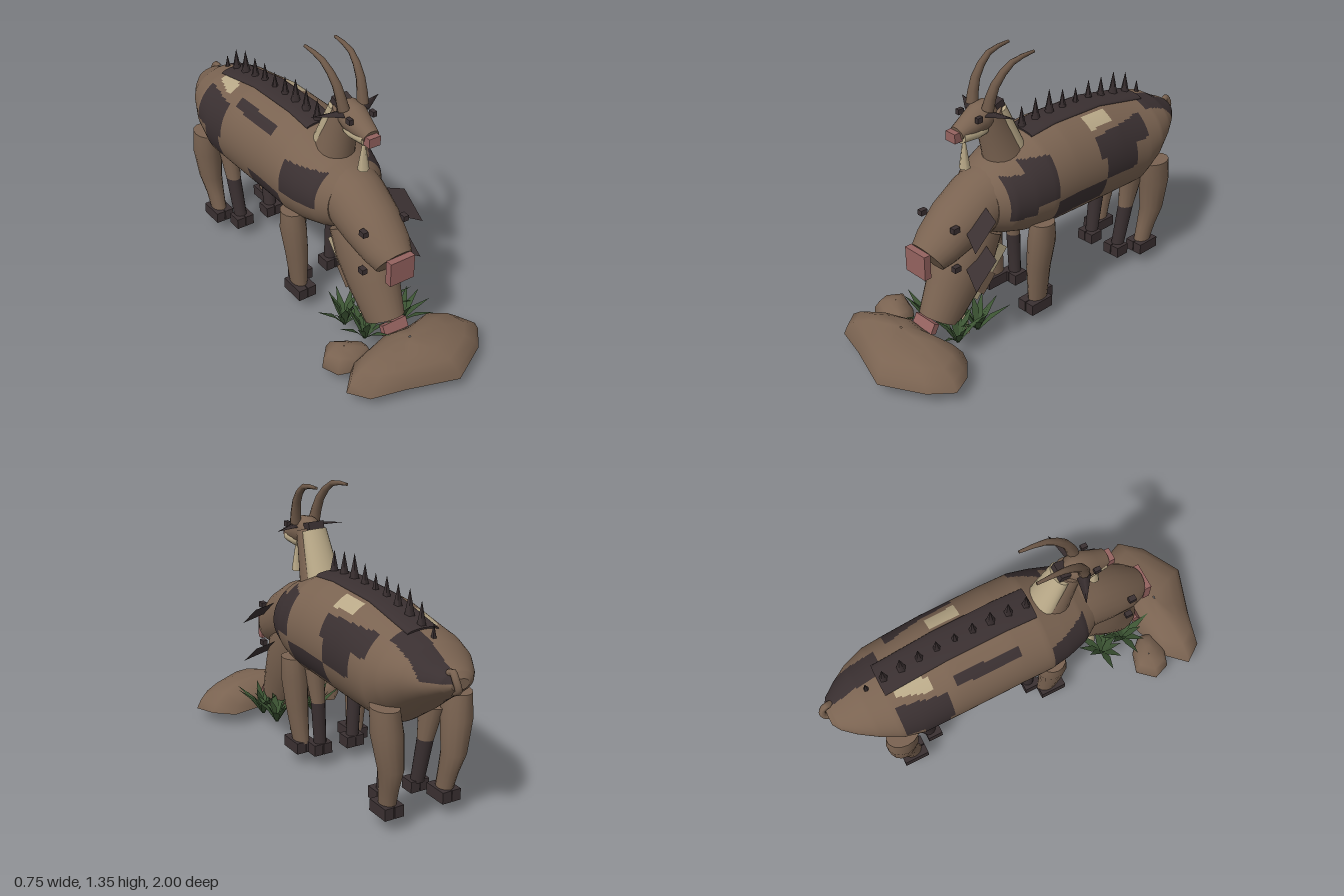
import * as THREE from 'three';

const mat = (name, color, side = THREE.FrontSide) => {
  const m = new THREE.MeshStandardMaterial({ color, side });
  m.name = name;
  return m;
};
const brown = mat('brownHide', 0x7a6351);
const dark = mat('darkHide', 0x3a3031, THREE.DoubleSide);
const cream = mat('creamHide', 0xb9a988);
const pink = mat('pinkSkin', 0x94625f);
const horn = mat('hornBrown', 0x6c5747);
const rockMat = mat('rockBrown', 0x7a6351, THREE.DoubleSide);
const green = mat('grassGreen', 0x3c5433, THREE.DoubleSide);
const V = (x, y, z) => new THREE.Vector3(x, y, z);

// Elliptical ring about centre c with half axes a and b
const ring = (c, a, b, n) => Array.from({ length: n }, (_, j) => {
  const t = (j / n) * Math.PI * 2;
  return c.clone().addScaledVector(a, Math.cos(t)).addScaledVector(b, Math.sin(t));
});

// Skin over rings with capped ends; pick(mid) returns a material index per quad
function loft(name, rings, mats, pick = () => 0) {
  const n = rings[0].length, pos = [], lists = mats.map(() => []);
  rings.flat().forEach(p => pos.push(p.x, p.y, p.z));
  for (let i = 0; i < rings.length - 1; i++) for (let j = 0; j < n; j++) {
    const k = (j + 1) % n, a = i * n + j, b = i * n + k, c = a + n, d = b + n;
    const mid = rings[i][j].clone().add(rings[i + 1][k]).multiplyScalar(0.5);
    lists[pick(mid)].push(a, b, c, b, d, c);
  }
  [[rings[0], true], [rings.at(-1), false]].forEach(([r, flip]) => {
    const base = pos.length / 3;
    r.forEach(p => pos.push(p.x, p.y, p.z));
    for (let j = 1; j < n - 1; j++)
      lists[0].push(base, base + (flip ? j + 1 : j), base + (flip ? j : j + 1));
  });
  const g = new THREE.BufferGeometry();
  g.setAttribute('position', new THREE.Float32BufferAttribute(pos, 3));
  g.setIndex(lists.flat());
  let start = 0;
  lists.forEach((l, i) => { g.addGroup(start, l.length, i); start += l.length; });
  g.computeVertexNormals();
  const m = new THREE.Mesh(g, mats);
  m.name = name;
  return m;
}

// Loft in the middle plane: stations are [z, y, halfWidth, halfDepth]
function spine(name, st, n, material) {
  const rings = st.map(([z, y, rx, r], i) => {
    const p = st[Math.max(i - 1, 0)], q = st[Math.min(i + 1, st.length - 1)];
    const d = V(0, q[1] - p[1], q[0] - p[0]).normalize();
    return ring(V(0, y, z), V(rx, 0, 0), d.cross(V(1, 0, 0)).multiplyScalar(r), n);
  });
  return loft(name, rings, [material]);
}

function part(parent, name, geo, m, x, y, z, rx = 0, ry = 0, rz = 0) {
  const mesh = new THREE.Mesh(geo, m);
  mesh.name = name;
  mesh.position.set(x, y, z);
  mesh.rotation.set(rx, ry, rz);
  parent.add(mesh);
  return mesh;
}
const box = (w, h, d) => new THREE.BoxGeometry(w, h, d);

export function createModel() {
  const model = new THREE.Group();
  model.name = 'twinGoat';

  // Barrel body with patches: [z, yCentre, halfWidth, halfHeight]
  const st = [[-.965, .73, .045, .025], [-.94, .732, .085, .05], [-.88, .725, .135, .085], [-.8, .72, .185, .137], [-.7, .695, .228, .19],
    [-.6, .67, .242, .235], [-.4, .69, .245, .255], [-.1, .7, .245, .255], [.05, .695, .245, .245],
    [.15, .685, .228, .215], [.25, .68, .198, .18], [.32, .675, .15, .145]];
  const within = (v, a, b) => v > a && v < b;
  // Patch boxes: [side, z0, z1, y0, y1, material]
  const patches = [
    [1, .03, .18, .67, .87, 1], [1, .15, .28, .62, .82, 1], [1, -.28, .03, .54, .655, 1],
    [1, -.6, -.25, .76, .86, 1], [1, -.495, -.29, .645, .78, 1], [1, -.39, -.24, .885, .928, 2],
    [-1, -.69, -.45, .68, .85, 1], [-1, -.6, -.48, .56, .7, 1], [-1, -.4, -.09, .86, .9, 1],
    [-1, -.66, -.5, .87, .905, 2], [-1, .06, .27, .66, .82, 1], [-1, -.2, .05, .52, .64, 1],
    [-1, -.87, -.8, .62, .68, 1]];
  const bodyRings = [];
  for (let i = 0; i < st.length - 1; i++) for (let k = i ? 1 : 0; k < 9; k++) {
    const [z, y, w, h] = st[i].map((a, j) => a + (st[i + 1][j] - a) * k / 8);
    bodyRings.push(ring(V(0, y, z), V(w, 0, 0), V(0, h, 0), 144));
  }
  model.add(loft('body', bodyRings, [brown, dark, cream], p => {
    if (p.y > .74 && p.z < -.66 && within(p.x, .02, .14)) return 1;
    const hit = patches.find(q => p.x * q[0] > 0 && within(p.z, q[1], q[2]) && within(p.y, q[3], q[4]));
    return hit ? hit[5] : 0;
  }));

  // Raised dark stripe and spikes along the back
  model.add(spine('backStripe', st.slice(4, 9).map(([z, y, , h]) => [z, y + h - .01, .078, .018]), 24, dark));
  const tips = [1.05, 1.065, 1.075, 1.05, 1.03, 1.04, 1.03, 1.03, 1.0, .93];
  tips.forEach((y, i) => part(model, 'backSpike', new THREE.ConeGeometry(.026, .13, 5), dark, -.008, y - .065, .03 - i * .088));

  // Curled tail
  const tail = new THREE.CatmullRomCurve3([V(0, .68, -.92), V(.02, .715, -.98), V(.03, .755, -.975), V(.03, .785, -.95), V(.035, .775, -.93)]);
  part(model, 'tail', new THREE.TubeGeometry(tail, 14, .016, 7), brown, 0, 0, 0);

  // Legs: stout outer pairs and slim inner pairs with dark socks; stations [y, x, z, rx, rz]
  const legs = [
    ['frontLeg', [[.55, .185, .085, .055, .06], [.45, .18, .085, .06, .073], [.3, .165, .09, .052, .062], [.11, .15, .08, .036, .052]], 0, .095, .13],
    ['rearLeg', [[.58, .185, -.7, .06, .08], [.46, .178, -.71, .07, .08], [.3, .163, -.72, .056, .063], [.2, .155, -.695, .042, .053], [.11, .15, -.675, .036, .047]], 0, -.673, .125],
    ['innerFrontLeg', [[.5, .11, .02, .045, .055], [.33, .1, .0, .034, .034], [.11, .09, .0, .03, .03]], .331, .005, .075],
    ['innerRearLeg', [[.5, .11, -.62, .045, .075], [.33, .1, -.595, .036, .042], [.11, .09, -.555, .032, .034]], .331, -.542, .075]];
  legs.forEach(([name, s, sock, footZ, footLen]) => [1, -1].forEach(side => {
    const rings = s.map(([y, x, z, rx, rz]) => ring(V(x * side, y, z), V(rx, 0, 0), V(0, 0, rz), 14));
    model.add(loft(name, rings, [brown, dark], p => (p.y < sock ? 1 : 0)));
    [-1, 1].forEach(t => part(model, 'hoof', box(.046, .055, footLen), dark,
      s.at(-1)[1] * side + t * .025, .0925, footZ));
  }));

  // Upright neck with cream nape, and head with cream jaw
  model.add(spine('neck', [[.14, .82, .105, .12], [.165, .89, .088, .095], [.215, 1.02, .072, .075], [.245, 1.1, .065, .06]], 20, brown));
  model.add(spine('nape', [[.115, .895, .082, .056], [.2, 1.105, .06, .042]], 20, cream));
  model.add(spine('head', [[.215, 1.095, .035, .04], [.25, 1.095, .06, .065], [.3, 1.085, .066, .068], [.36, 1.065, .054, .053], [.425, 1.05, .04, .03]], 20, brown));
  model.add(spine('jaw', [[.285, 1.035, .05, .032], [.33, 1.035, .056, .037], [.415, 1.037, .047, .036]], 16, cream));
  part(model, 'poll', box(.08, .035, .05), dark, 0, 1.125, .205, .3);
  part(model, 'nose', box(.06, .045, .045), pink, -.005, 1.04, .435);
  part(model, 'beard', new THREE.CylinderGeometry(.006, .027, .14, 6), cream, -.005, .935, .38);
  [1, -1].forEach(s => {
    part(model, 'eye', box(.02, .025, .03), dark, .062 * s, 1.11, .35);
    part(model, 'ear', new THREE.ConeGeometry(.034, .14, 4), dark, .115 * s, 1.112, .26, 0, s * .4, -s * Math.PI / 2).scale.x = .3;
    // Swept horn, tapering along its path
    const path = new THREE.CatmullRomCurve3([V(.05 * s, 1.13, .29), V(.062 * s, 1.24, .255), V(.075 * s, 1.325, .165), V(.08 * s, 1.342, .04)]);
    const hornRings = Array.from({ length: 7 }, (_, i) => {
      const u = i / 6, d = path.getTangent(u), r = .028 - .021 * u;
      const a = V(1, 0, 0).addScaledVector(d, -d.x).normalize();
      return ring(path.getPoint(u), a.clone().multiplyScalar(r), d.clone().cross(a).multiplyScalar(r), 8);
    });
    model.add(loft('horn', hornRings, [horn]));
  });

  // Lowered front neck and the grazing muzzle reaching the ground
  model.add(spine('loweredNeck', [[.22, .695, .16, .155], [.33, .67, .145, .15], [.45, .61, .135, .135], [.56, .545, .115, .105], [.615, .508, .09, .088]], 24, brown));
  model.add(spine('grazingMuzzle', [[.33, .56, .125, .13], [.4, .45, .13, .155], [.47, .32, .115, .135], [.565, .16, .088, .105]], 24, brown));
  part(model, 'loweredNose', box(.13, .12, .035), pink, -.005, .5, .665);
  part(model, 'grazingMouth', box(.13, .05, .03), pink, -.005, .16, .64, -.5);
  part(model, 'throatStripe', box(.11, .28, .06), cream, 0, .315, .305, -.75);
  part(model, 'throatPatch', box(.116, .11, .072), brown, 0, .27, .33, -.75);
  part(model, 'lowerBeard', new THREE.CylinderGeometry(.012, .03, .17, 6), cream, -.005, .085, .415);
  [.66, .46].forEach(y => [-.115, .105].forEach(x => part(model, 'lowerEye', box(.026, .026, .035), dark, x, y, .54)));

  // Flat side ears
  [.0, -.2].forEach(dy => {
    const g = new THREE.BufferGeometry().setFromPoints([V(.11, .722 + dy, .375), V(.215, .69 + dy, .4), V(.222, .585 + dy, .53), V(.105, .635 + dy, .485)]);
    g.setIndex([0, 2, 1, 0, 3, 2]);
    g.computeVertexNormals();
    part(model, 'flatEar', g, dark, 0, 0, 0);
  });

  // Hollow rocks: outline points [x, z] shrunk upward in tiers [scale, y]
  function rock(name, outline, cx, cz, tiers) {
    const n = outline.length, pos = [], idx = [];
    tiers.forEach(([k, y]) => outline.forEach(([x, z], j) =>
      pos.push(cx + (x - cx) * k, y + (k > .4 && k < .9 ? .008 * Math.sin(j * 2.3) : 0), cz + (z - cz) * k)));
    for (let i = 0; i < tiers.length - 1; i++) for (let j = 0; j < n; j++) {
      const a = i * n + j, b = i * n + (j + 1) % n;
      idx.push(a, b, a + n, b, b + n, a + n);
    }
    const g = new THREE.BufferGeometry();
    g.setAttribute('position', new THREE.Float32BufferAttribute(pos, 3));
    g.setIndex(idx);
    g.computeVertexNormals();
    part(model, name, g, rockMat, 0, 0, 0);
  }
  rock('bigRock', [[-.375, .79], [-.31, .88], [-.15, .92], [.09, 1], [.29, .89], [.375, .79], [.33, .69], [.24, .61], [.08, .64], [-.1, .64], [-.28, .69]], -.02, .77,
    [[1, .065], [.94, .11], [.78, .15], [.5, .182], [.2, .195], [.02, .197]]);
  rock('smallRock', [[-.37, .6], [-.34, .68], [-.25, .71], [-.15, .68], [-.14, .62], [-.2, .555], [-.3, .522]], -.26, .61,
    [[1, .065], [.97, .1], [.75, .13], [.35, .145], [.02, .147]]);

  // Grass tufts of bent, pointed blades
  const blade = new THREE.BufferGeometry().setFromPoints([V(-.008, 0, 0), V(.008, 0, 0), V(-.018, .07, .06), V(.018, .07, .06), V(0, .125, .15)]);
  blade.setIndex([0, 1, 2, 1, 3, 2, 2, 3, 4]);
  blade.computeVertexNormals();
  [[-.12, .42], [-.1, .55], [.1, .42], [.11, .55]].forEach(([x, z], t) => {
    for (let i = 0; i < 11; i++) {
      const b = part(model, 'grassBlade', blade, green, x, .07, z, 0, i * .571 + t * 1.3, 0);
      const k = .45 + .7 * ((i * 5 + t * 3) % 7) / 7;
      b.scale.set(1, 1.55 - k * .6, k);
    }
  });
  return model;
}
